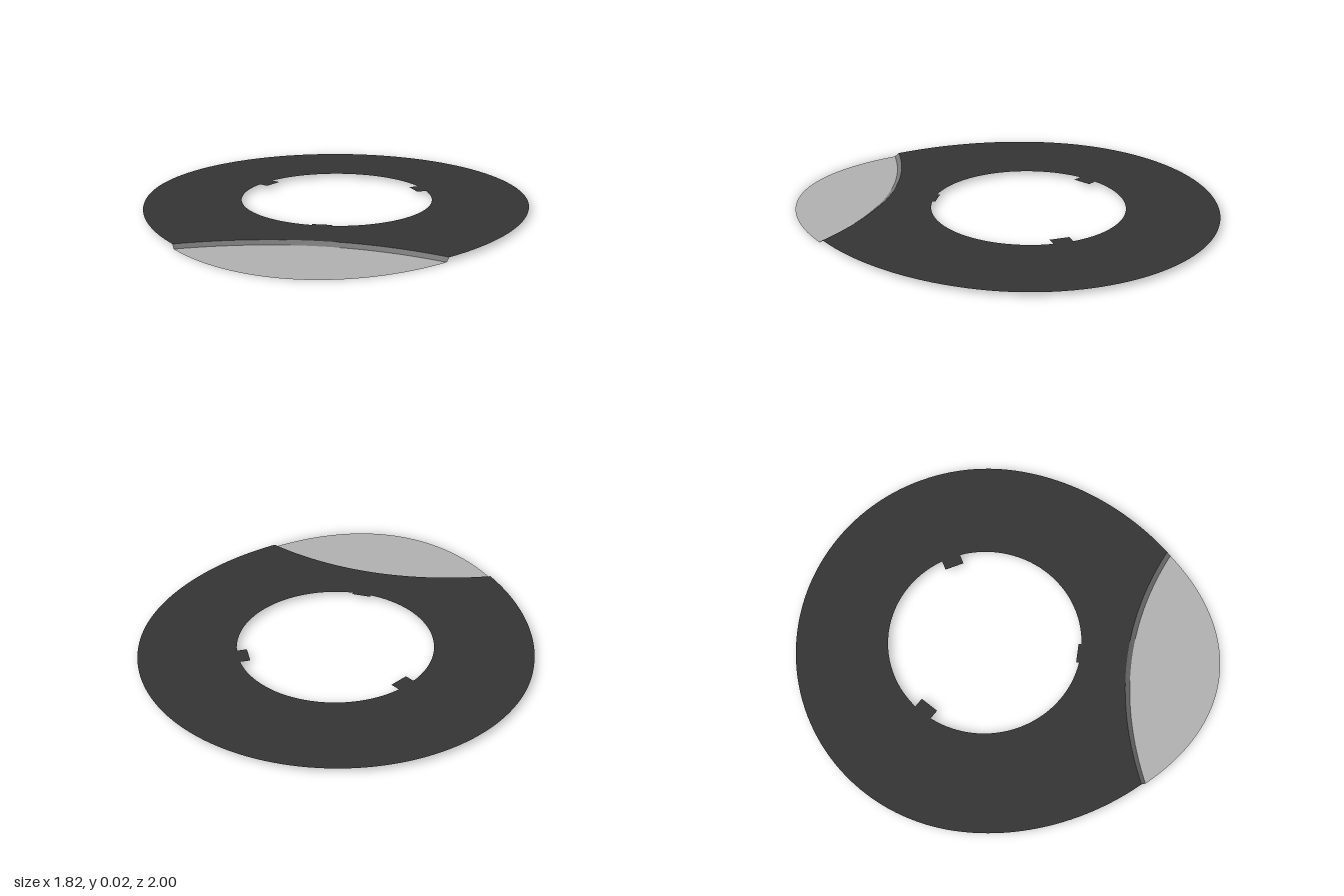
import * as THREE from 'three';

const TOP = 0.016; // height of the raised ring plate
const HOLE = { z: -0.112, r: 0.456 };

// Step line between the two plates: a shallow arc across the front
const stepLine = (offset, half, n = 32) => {
  const pts = [];
  for (let i = 0; i <= n; i++) {
    const x = half * (1 - (2 * i) / n);
    pts.push(new THREE.Vector2(x, offset + 0.39 * x * x));
  }
  return pts;
};

const bezier = (...p) => new THREE.CubicBezierCurve(
  ...p.map(([x, z]) => new THREE.Vector2(x, z))).getPoints(24);
const mirror = (pts) => pts.map((p) => new THREE.Vector2(-p.x, p.y)).reverse();

// Flat plate from (x, z) points, facing up
function plate(points, y, material, name, hole) {
  const flip = (p) => new THREE.Vector2(p.x, -p.y);
  const shape = new THREE.Shape(points.map(flip));
  if (hole) shape.holes.push(new THREE.Path(hole.map(flip)));
  const geo = new THREE.ShapeGeometry(shape).rotateX(-Math.PI / 2).translate(0, y, 0);
  const mesh = new THREE.Mesh(geo, material);
  mesh.name = name;
  return mesh;
}

// Round opening with three inward locating tabs
function tabbedHole() {
  const pts = [];
  const half = 0.046;
  const a = Math.asin(half / HOLE.r);
  const tabs = [[Math.PI / 2, 0.44], [Math.PI * 7 / 6, 0.407], [Math.PI * 11 / 6, 0.407]];
  for (const [angle, inner] of tabs) {
    const c = Math.cos(angle), s = Math.sin(angle);
    for (const side of [-half, half]) {
      pts.push(new THREE.Vector2(inner * c - side * s, HOLE.z + inner * s + side * c));
    }
    const start = angle + a, sweep = Math.PI * 2 / 3 - 2 * a;
    for (let i = 0; i <= 30; i++) {
      const t = start + (sweep * i) / 30;
      pts.push(new THREE.Vector2(HOLE.r * Math.cos(t), HOLE.z + HOLE.r * Math.sin(t)));
    }
  }
  return pts;
}

// Sloping strip joining the upper and lower step lines
function slope(upper, lower, material) {
  const pos = [], index = [];
  upper.forEach((p, i) => {
    pos.push(p.x, TOP, p.y, lower[i].x, 0, lower[i].y);
    if (i) {
      const k = 2 * i;
      index.push(k - 2, k, k - 1, k, k + 1, k - 1);
    }
  });
  const geo = new THREE.BufferGeometry();
  geo.setAttribute('position', new THREE.Float32BufferAttribute(pos, 3));
  geo.setIndex(index);
  geo.computeVertexNormals();
  const mesh = new THREE.Mesh(geo, material);
  mesh.name = 'stepSlope';
  return mesh;
}

export function createModel() {
  const mat = (name, color) => {
    const m = new THREE.MeshStandardMaterial({ color, side: THREE.DoubleSide });
    m.name = name;
    return m;
  };
  const charcoal = mat('charcoal', 0x353535);
  const lightGrey = mat('lightGrey', 0xb2b2b2);
  const midGrey = mat('midGrey', 0x777777);

  const upper = stepLine(0.562, 0.58);
  const lower = stepLine(0.585, 0.57);

  // Ring outline: half ellipse at the back, sides tapering to the step
  const side = bezier([0.912, -0.11], [0.912, 0.2], [0.77, 0.49], [0.58, upper[0].y]);
  const back = [];
  for (let i = 1; i < 72; i++) {
    const t = Math.PI + (Math.PI * i) / 72;
    back.push(new THREE.Vector2(0.912 * Math.cos(t), -0.11 + 0.89 * Math.sin(t)));
  }
  const ring = [...side, ...upper.slice(1, -1), ...mirror(side), ...back];

  // Front lip outline: rounded tip closed by the lower step line
  const tip = bezier([0.57, lower[0].y], [0.4, 0.9], [0.2, 1], [0, 1]);
  const lip = [...tip, ...mirror(tip).slice(1), ...lower.slice(1, -1).reverse()];

  const group = new THREE.Group();
  group.name = 'ringPlate';
  group.add(
    plate(ring, TOP, charcoal, 'ring', tabbedHole()),
    plate(lip, 0, lightGrey, 'frontLip'),
    slope(upper, lower, midGrey),
  );
  return group;
}
